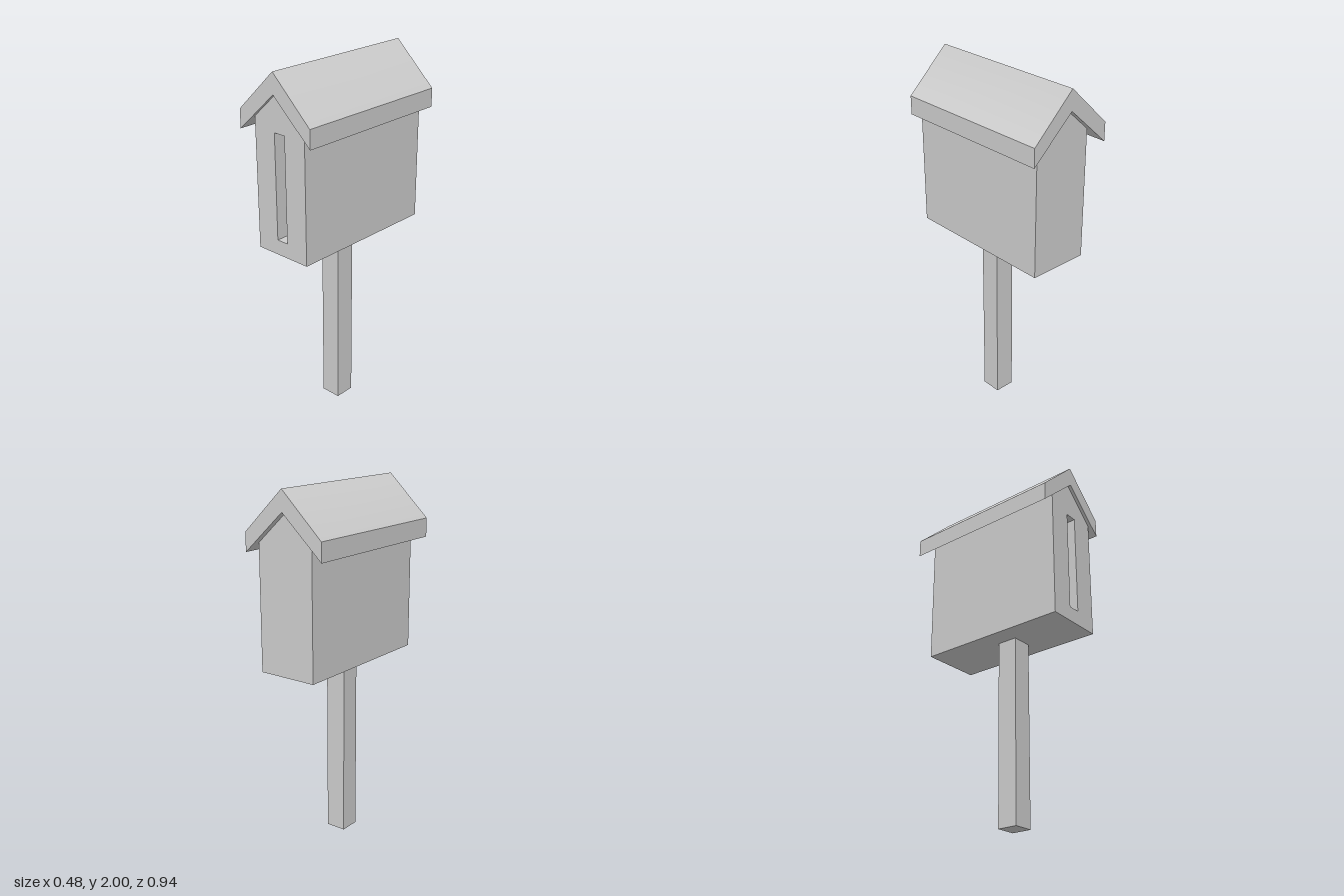
import * as THREE from 'three';

const material = new THREE.MeshStandardMaterial({ color: 0xcccccc });

const outline = (Type, points) => new Type(points.map(([x, y]) => new THREE.Vector2(x, y)));

// Extrudes a front-facing outline between two depths
function slab(name, shape, zBack, zFront) {
  const geometry = new THREE.ExtrudeGeometry(shape, { depth: zFront - zBack, bevelEnabled: false });
  geometry.translate(0, 0, zBack);
  const mesh = new THREE.Mesh(geometry, material);
  mesh.name = name;
  return mesh;
}

// Gabled house section whose top follows the underside of the roof
const ROOF_SLOPE = 0.22 / 0.24;
function houseShape() {
  const left = -0.153, right = 0.188, bottom = 1.03, peak = 1.887;
  return outline(THREE.Shape, [
    [left, bottom], [right, bottom],
    [right, peak - right * ROOF_SLOPE], [0, peak], [left, peak + left * ROOF_SLOPE],
  ]);
}

export function createModel() {
  const model = new THREE.Group();
  model.name = 'birdhouse';

  // Square post, set slightly off centre
  const post = new THREE.Mesh(new THREE.BoxGeometry(0.116, 1.03, 0.116), material);
  post.name = 'post';
  post.position.set(0.018, 0.515, 0.038);
  model.add(post);

  // House: slotted front section against a solid back section
  const house = new THREE.Group();
  house.name = 'house';
  const frontShape = houseShape();
  frontShape.holes.push(outline(THREE.Path, [
    [-0.017, 1.113], [-0.017, 1.69], [0.052, 1.69], [0.052, 1.113],
  ]));
  house.add(slab('houseFront', frontShape, 0.05, 0.45));
  house.add(slab('houseBack', houseShape(), -0.43, 0.05));
  model.add(house);

  // Thick gabled roof with vertical eaves
  const roof = slab('roof', outline(THREE.Shape, [
    [-0.242, 1.667], [0, 1.887], [0.242, 1.667],
    [0.242, 1.77], [0, 2], [-0.242, 1.77],
  ]), -0.468, 0.468);

  // Smooth shading across the ridge
  const { position, normal } = roof.geometry.attributes;
  for (let i = 0; i < position.count; i++) {
    if (position.getY(i) > 1.99 && normal.getY(i) > 0.5) normal.setXYZ(i, 0, 1, 0);
  }
  model.add(roof);

  return model;
}
